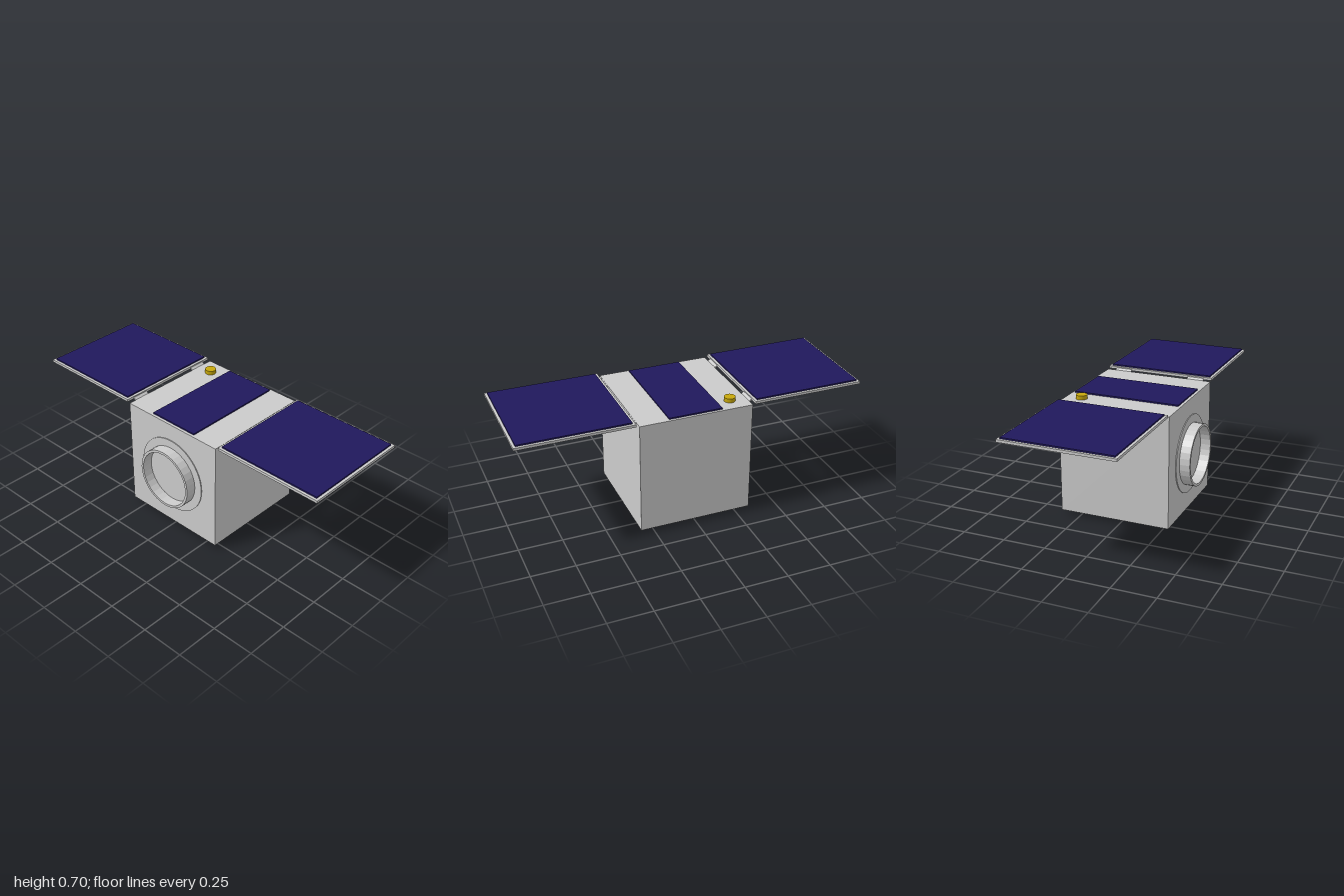
import * as THREE from 'three';

const material = (color) => new THREE.MeshStandardMaterial({ color, flatShading: true });

export function createModel() {
  const model = new THREE.Group();
  model.name = 'satellite';
  const grey = material(0xcccccc);
  const blue = material(0x20185c);
  const gold = material(0xc8a80c);
  const black = material(0x0c0c0c);

  function add(name, geometry, mat, x = 0, y = 0, z = 0, parent = model) {
    const mesh = new THREE.Mesh(geometry, mat);
    mesh.name = name;
    mesh.position.set(x, y, z);
    parent.add(mesh);
    return mesh;
  }

  // Box given by its lower and upper corners
  function box(name, mat, [x0, y0, z0], [x1, y1, z1], parent) {
    return add(name, new THREE.BoxGeometry(x1 - x0, y1 - y0, z1 - z0), mat,
      (x0 + x1) / 2, (y0 + y1) / 2, (z0 + z1) / 2, parent);
  }

  // Hollow ring with a rectangular section, standing on y = 0
  function ring(inner, outer, height) {
    const section = [[inner, 0], [outer, 0], [outer, height], [inner, height], [inner, 0]];
    return new THREE.LatheGeometry(section.map(([r, y]) => new THREE.Vector2(r, y)), 32);
  }

  // Main body with the solar sheet on its roof
  box('body', grey, [-0.328, 0.024, -0.36], [0.328, 0.681, 0.294]);
  box('roofSolarSheet', blue, [-0.155, 0.681, -0.345], [0.155, 0.689, 0.278]);

  // Round adapter on the front face
  add('adapterFlange', new THREE.CylinderGeometry(0.228, 0.228, 0.005, 48), grey, 0, 0.353, 0.2965)
    .rotation.x = Math.PI / 2;
  add('adapterRing', ring(0.165, 0.18, 0.064), grey, 0, 0.353, 0.296).rotation.x = Math.PI / 2;

  // Solar wings and their hinges, one set on each side
  const hingeShape = new THREE.Shape([
    [0.322, 0.672], [0.333, 0.672], [0.348, 0.683], [0.365, 0.683],
    [0.365, 0.69], [0.344, 0.69], [0.33, 0.68], [0.322, 0.68],
  ].map(([x, y]) => new THREE.Vector2(x, y)));
  const hingeGeometry = new THREE.ExtrudeGeometry(hingeShape, { depth: 0.099, bevelEnabled: false });

  for (const side of [1, -1]) {
    const wing = new THREE.Group();
    wing.name = side > 0 ? 'leftWing' : 'rightWing';
    if (side < 0) wing.rotation.y = Math.PI;
    model.add(wing);
    // The turned wing swaps front and back, so its z values are mirrored
    const zSpan = (a, b) => (side > 0 ? [a, b] : [-b, -a]);
    const [p0, p1] = zSpan(-0.36, 0.294);
    box('wingPanel', grey, [0.345, 0.682, p0], [1, 0.697, p1], wing);
    const [s0, s1] = zSpan(-0.345, 0.279);
    box('wingSolarSheet', blue, [0.36, 0.697, s0], [0.985, 0.705, s1], wing);
    for (const [a, b] of [[0.148, 0.247], [-0.311, -0.212]]) {
      add('hinge', hingeGeometry, grey, 0, 0, zSpan(a, b)[0], wing);
    }
  }

  // Gold knob on the roof
  add('roofAntenna', new THREE.CylinderGeometry(0.032, 0.032, 0.024, 32), gold, -0.233, 0.693, -0.265);

  // Gold collar with a dark floor under the body
  add('undersideCollar', ring(0.042, 0.049, 0.026), gold, -0.23, 0, -0.261);
  add('collarFloor', new THREE.CylinderGeometry(0.043, 0.043, 0.008, 32), black, -0.23, 0.02, -0.261);

  // Underside frame with two rows of four square openings
  const frame = new THREE.Shape([
    [-0.262, 0], [0.262, 0], [0.262, 0.262], [-0.262, 0.262],
  ].map(([x, y]) => new THREE.Vector2(x, y)));
  const half = 0.054;
  for (let row = 0; row < 2; row++) {
    for (let col = 0; col < 4; col++) {
      const cx = (col - 1.5) * 0.126;
      const cz = 0.131 + (row - 0.5) * 0.124;
      frame.holes.push(new THREE.Path([
        [-half, -half], [-half, half], [half, half], [half, -half],
      ].map(([x, y]) => new THREE.Vector2(cx + x, cz + y))));
    }
  }
  add('undersideFrame', new THREE.ExtrudeGeometry(frame, { depth: 0.008, bevelEnabled: false }),
    grey, 0, 0.025, 0).rotation.x = Math.PI / 2;

  return model;
}
